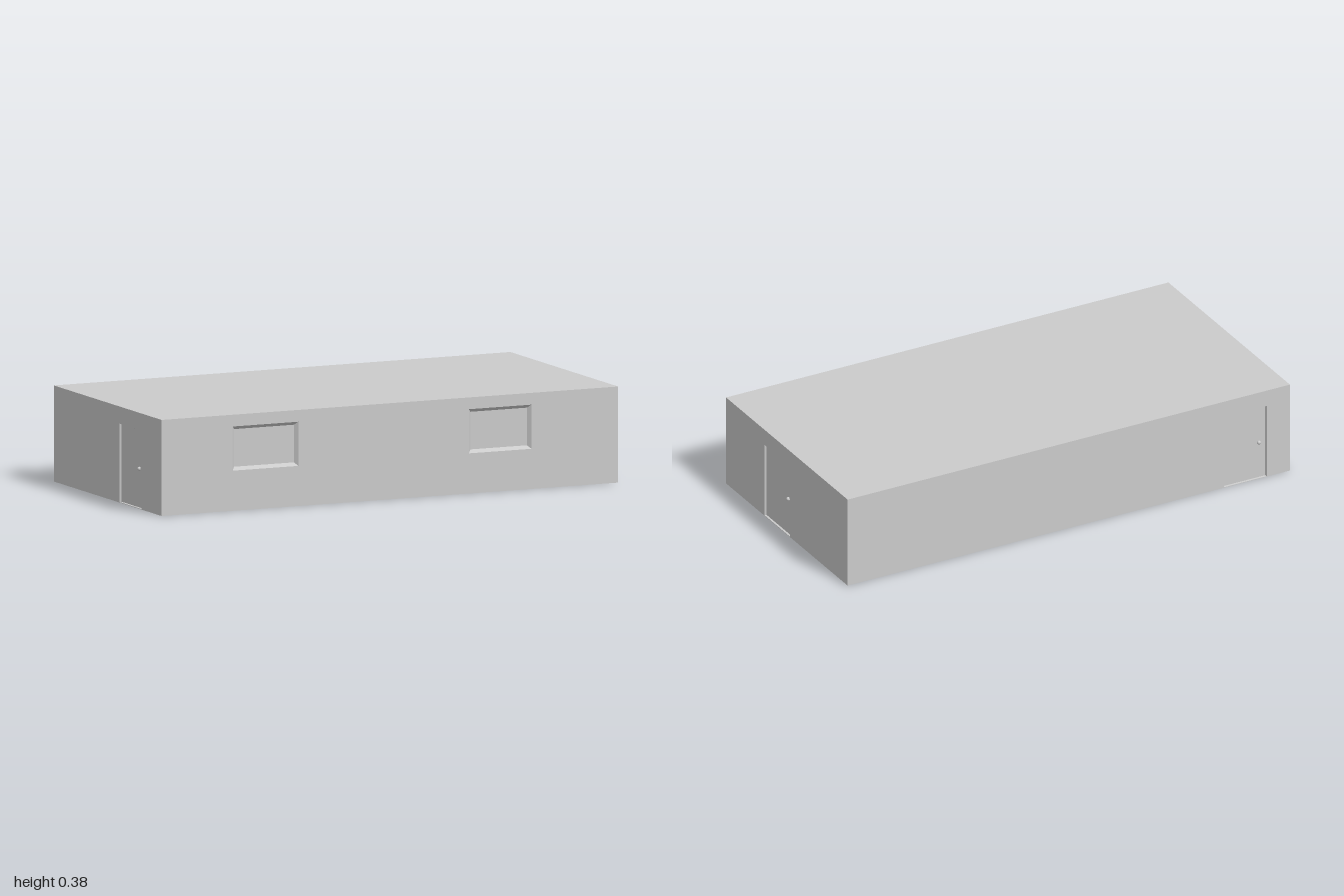
import * as THREE from 'three';

const W = 1.994, D = 0.985, H = 0.377, ZC = 0.0025;
const mat = new THREE.MeshStandardMaterial({ color: 0xcccccc, side: THREE.DoubleSide });

function add(parent, name, geometry, x = 0, y = 0, z = 0) {
  const m = new THREE.Mesh(geometry, mat);
  m.name = name;
  m.position.set(x, y, z);
  parent.add(m);
  return m;
}

// Splayed reveals running back from an opening to a smaller panel
function recessGeometry([x0, x1, y0, y1], inset, bottomInset, depth) {
  const outer = [[x0, y0, 0], [x1, y0, 0], [x1, y1, 0], [x0, y1, 0]];
  const a = x0 + inset, b = x1 - inset, c = y0 + bottomInset, d = y1 - inset;
  const inner = [[a, c, -depth], [b, c, -depth], [b, d, -depth], [a, d, -depth]];
  const pos = [];
  const quad = (p, q, r, s) => pos.push(...p, ...q, ...r, ...p, ...r, ...s);
  for (let i = 0; i < 4; i++) {
    const j = (i + 1) % 4;
    quad(outer[i], outer[j], inner[j], inner[i]);
  }
  quad(...inner);
  const g = new THREE.BufferGeometry();
  g.setAttribute('position', new THREE.Float32BufferAttribute(pos, 3));
  g.computeVertexNormals();
  return g;
}

// Flat wall facing local +z, pierced by its windows and doors
function makeWall(name, width, openings) {
  const wall = new THREE.Group();
  wall.name = name;
  const w = width / 2;
  const shape = new THREE.Shape([[-w, 0], [w, 0], [w, H], [-w, H]].map(p => new THREE.Vector2(...p)));
  for (const { rect, knob } of openings) {
    const [x0, x1, y0, y1] = rect;
    shape.holes.push(new THREE.Path([[x0, y0], [x0, y1], [x1, y1], [x1, y0]].map(p => new THREE.Vector2(...p))));
    if (knob === undefined) {
      add(wall, 'window', recessGeometry(rect, 0.013, 0.013, 0.014));
    } else {
      add(wall, 'door', recessGeometry(rect, 0.003, 0.001, 0.008));
      add(wall, 'doorKnob', new THREE.SphereGeometry(0.008, 20, 14), knob, 0.158, -0.005);
    }
  }
  add(wall, name + 'Surface', new THREE.ShapeGeometry(shape));
  return wall;
}

export function createModel() {
  const building = new THREE.Group();
  building.name = 'building';

  const door = (x0, x1, knob) => ({ rect: [x0, x1, 0.002, 0.315], knob });
  const win = (x0, x1) => ({ rect: [x0, x1, 0.16, 0.336] });

  // Four walls, each turned to face outward
  const walls = [
    ['frontWall', W, D / 2, 0, [win(-0.687, -0.4), win(0.345, 0.618)]],
    ['leftWall', D, W / 2, Math.PI / 2, [door(-0.181, 0.025, 0.002)]],
    ['backWall', W, D / 2, Math.PI, [door(0.7, 0.893, 0.86)]],
    ['rightWall', D, W / 2, -Math.PI / 2, [door(0.107, 0.308, 0.277)]],
  ];
  for (const [name, width, out, turn, openings] of walls) {
    const wall = makeWall(name, width, openings);
    wall.rotation.y = turn;
    wall.position.set(Math.sin(turn) * out, 0, Math.cos(turn) * out + ZC);
    building.add(wall);
  }

  // Floor and thin flat roof
  const floor = add(building, 'floor', new THREE.PlaneGeometry(W, D), 0, 0, ZC);
  floor.rotation.x = Math.PI / 2;
  add(building, 'roof', new THREE.BoxGeometry(W, 0.006, D), 0, H + 0.003, ZC);

  return building;
}
